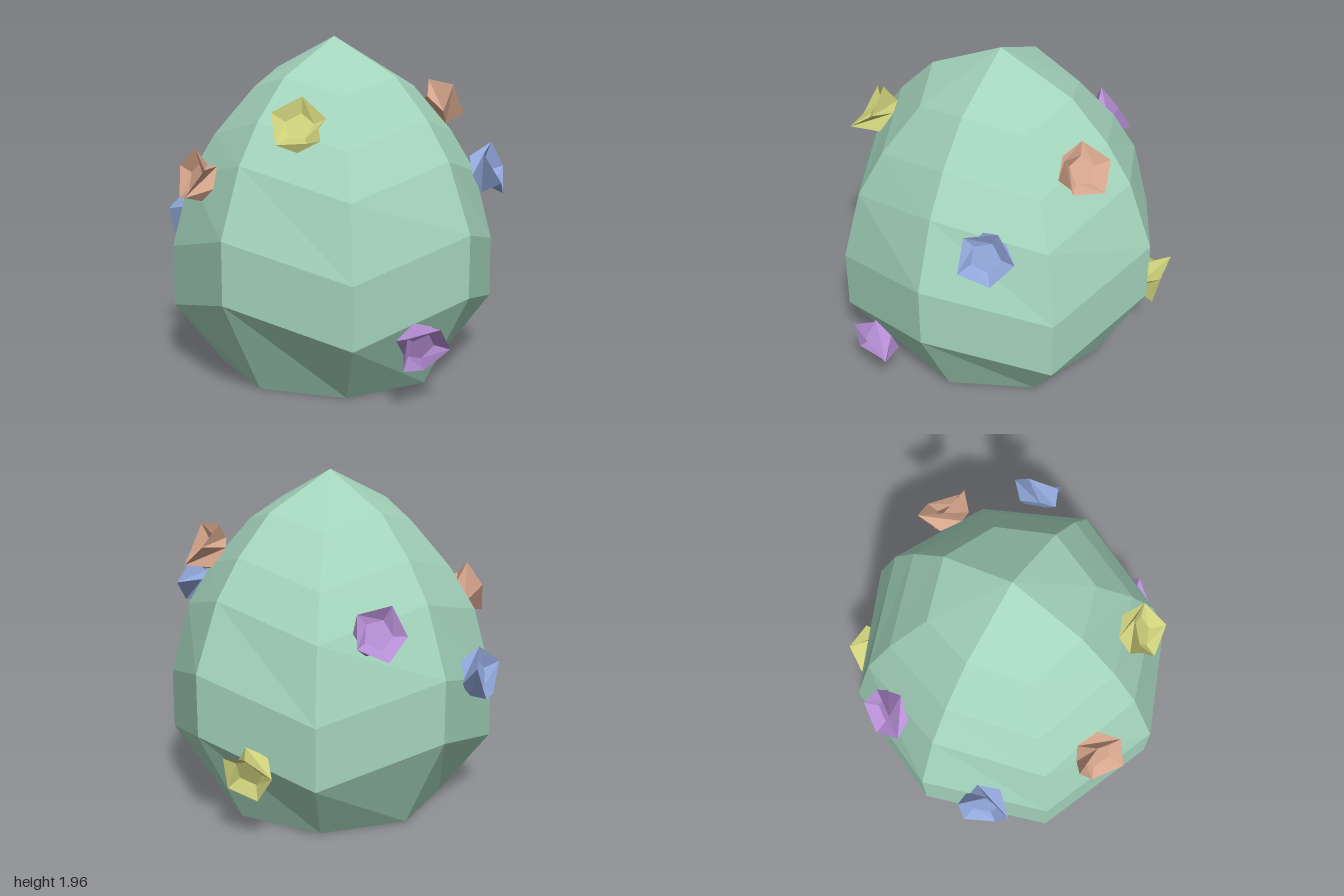
import * as THREE from 'three';

const material = (color) => new THREE.MeshStandardMaterial({ color, flatShading: true, side: THREE.DoubleSide });
const profile = (points) => points.map(([r, y]) => new THREE.Vector2(r, y));

// Eight-sided egg; the corners between the axes sit lower than those on them
function eggGeometry() {
  const geometry = new THREE.LatheGeometry(profile([
    [0, 0], [0.67, 0], [0.96, 0.56], [0.96, 0.92], [0.81, 1.31], [0.66, 1.53], [0.44, 1.755], [0, 1.96],
  ]), 8);
  const p = geometry.attributes.position;
  for (let i = 0; i < p.count; i++) {
    const x = p.getX(i), y = p.getY(i), z = p.getZ(i);
    const r = Math.hypot(x, z);
    const diagonal = Math.abs(x * z) > 0.01;
    if (diagonal && y > 0.1) p.setY(i, y - 0.19 * r / 0.96);
    // upper diagonal corners keep the surface full
    if (diagonal && y > 1) {
      const s = 1 + 0.07 * (1 - Math.abs(r - 0.5));
      p.setX(i, x * s);
      p.setZ(i, z * s);
    }
  }
  geometry.computeVertexNormals();
  return geometry;
}

// Five-sided flared cup with a wavy rim, a sunken floor and twisted rings
function cupGeometry() {
  const geometry = new THREE.LatheGeometry(profile([
    [0, -0.08], [0.115, -0.075], [0.158, 0.045], [0.085, 0.0], [0, 0.0],
  ]), 5);
  const p = geometry.attributes.position;
  for (let i = 0; i < p.count; i++) {
    const x = p.getX(i), z = p.getZ(i);
    const r = Math.hypot(x, z);
    if (r > 0.14) {
      p.setY(i, p.getY(i) + 0.025 * Math.cos(2 * Math.atan2(x, z)));
    } else if (r > 0.1) {
      const a = Math.PI / 5;
      p.setX(i, x * Math.cos(a) + z * Math.sin(a));
      p.setZ(i, z * Math.cos(a) - x * Math.sin(a));
    }
  }
  geometry.computeVertexNormals();
  return geometry;
}

export function createModel() {
  const group = new THREE.Group();

  const egg = new THREE.Mesh(eggGeometry(), material(0xa3d3bb));
  egg.name = 'eggBody';
  egg.position.set(-0.01, 0, 0.005);
  group.add(egg);

  const colors = {
    orange: material(0xd6a68c),
    yellow: material(0xcdd07a),
    blue: material(0x91a7da),
    purple: material(0xb78fd6),
  };

  // Cups: colour, centre, upward lean of the direction they face, spin
  const cups = [
    ['orange', [-0.36, 1.2, 0.8], 0.38, 0.3],
    ['yellow', [0.28, 1.53, 0.66], 0.75, 1.0],
    ['blue', [-0.88, 0.86, 0.37], 0.25, 0.6],
    ['purple', [0.88, 0.36, 0.36], -0.4, 0.2],
    ['blue', [0.84, 1.22, -0.35], 0.38, 0.9],
    ['orange', [0.31, 1.54, -0.65], 0.75, 0.5],
    ['yellow', [-0.35, 0.43, -0.86], -0.35, 0.1],
    ['purple', [-0.79, 1.2, -0.33], 0.38, 0.7],
  ];
  const cup = cupGeometry();
  const up = new THREE.Vector3(0, 1, 0);
  for (const [color, [x, y, z], lean, spin] of cups) {
    const mesh = new THREE.Mesh(cup, colors[color]);
    mesh.name = color + 'Cup';
    const r = Math.hypot(x, z);
    const facing = new THREE.Vector3(x / r, lean, z / r).normalize();
    mesh.quaternion.setFromUnitVectors(up, facing);
    mesh.rotateY(spin);
    mesh.position.set(x, y, z);
    group.add(mesh);
  }
  return group;
}
